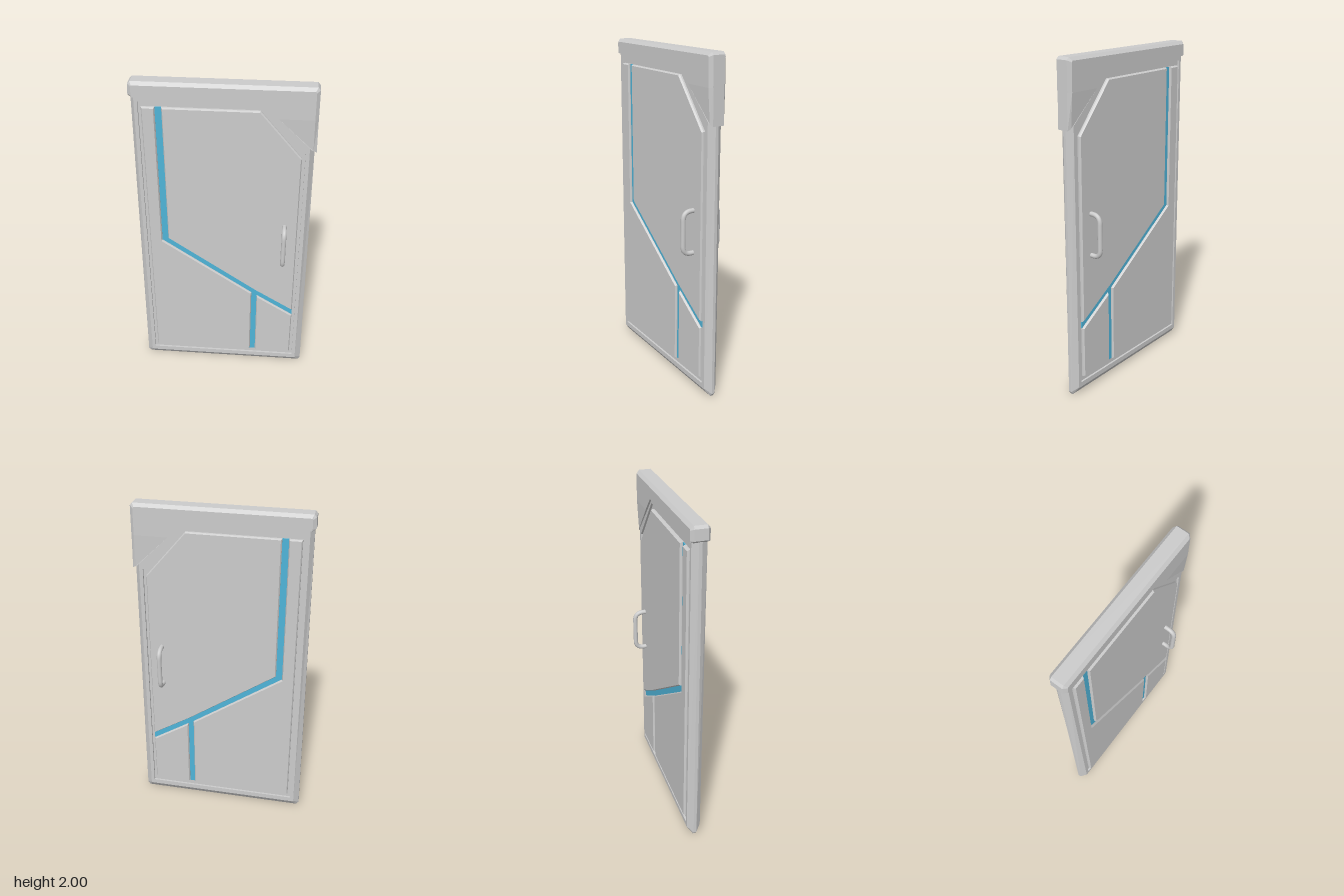
import * as THREE from 'three';

const grey = new THREE.MeshStandardMaterial({ color: 0xcccccc, roughness: 0.7 });
const blue = new THREE.MeshStandardMaterial({ color: 0x4fb4d8, roughness: 0.7 });

// Moves every edge of a counter-clockwise outline inwards by d
function inset(pts, d) {
  const n = pts.length;
  return pts.map((p, i) => {
    const a = pts[(i + n - 1) % n], b = pts[(i + 1) % n];
    const u = new THREE.Vector2(p[0] - a[0], p[1] - a[1]).normalize();
    const v = new THREE.Vector2(b[0] - p[0], b[1] - p[1]).normalize();
    const k = d / (1 + u.dot(v));
    return [p[0] - (u.y + v.y) * k, p[1] + (u.x + v.x) * k];
  });
}

// Slab mirrored about z = 0: bevels run from `outer` at zEdge to `face` at zFace.
// Outlines are counter-clockwise; a face point may carry its own z.
function slab(name, outer, face, zEdge, zFace, hole = [], material = grey) {
  const pos = [];
  const ring = (pts, s, z) => pts.map(p => [p[0], p[1], s * (p[2] ?? z)]);
  const band = (a, b) => a.forEach((p, i) => {
    const j = (i + 1) % a.length;
    pos.push(...p, ...b[i], ...b[j], ...p, ...b[j], ...a[j]);
  });
  const rings = [ring(face, 1, zFace), ring(outer, 1, zEdge), ring(outer, -1, zEdge), ring(face, -1, zFace)];
  for (let i = 0; i < 3; i++) band(rings[i], rings[i + 1]);
  const cut = [...hole].reverse();
  if (cut.length) band(ring(cut, 1, zFace), ring(cut, -1, zFace));
  const flat = pts => pts.map(p => new THREE.Vector2(p[0], p[1]));
  const tris = THREE.ShapeUtils.triangulateShape(flat(face), cut.length ? [flat(cut)] : []);
  const front = [...rings[0], ...ring(cut, 1, zFace)];
  const back = [...rings[3], ...ring(cut, -1, zFace)];
  for (const [a, b, c] of tris) pos.push(...front[a], ...front[b], ...front[c], ...back[a], ...back[c], ...back[b]);
  const geo = new THREE.BufferGeometry();
  geo.setAttribute('position', new THREE.Float32BufferAttribute(pos, 3));
  geo.computeVertexNormals();
  const mesh = new THREE.Mesh(geo, material);
  mesh.name = name;
  return mesh;
}

export function createModel() {
  const door = new THREE.Group();
  door.name = 'door';

  // Frame with wedge-shaped outer edges
  const opening = [[-0.465, 0.075], [0.46, 0.075], [0.452, 1.615], [0.21, 1.887], [-0.463, 1.887]];
  door.add(slab('frame',
    [[-0.52, 0.02], [-0.505, 0], [0.505, 0], [0.518, 0.02], [0.5, 1.64], [0.496, 1.95], [-0.503, 1.95]],
    [[-0.487, 0.05], [-0.482, 0.045], [0.477, 0.045], [0.482, 0.05], [0.473, 1.64], [0.47, 1.93], [-0.482, 1.93]],
    0.009, 0.042, opening));

  // Stepped seat around the leaf
  const seat = inset(opening, -0.003);
  door.add(slab('doorCore', seat, seat, 0.03, 0.03));

  // Raised leaf panels, separated by channels
  const panels = {
    upperPanel: [[-0.335, 1.857], [-0.335, 0.995], [0.2, 0.622], [0.44, 0.472], [0.434, 1.58], [0.198, 1.857]],
    lowerPanel: [[-0.446, 1.857], [-0.446, 0.107], [0.177, 0.107], [0.177, 0.597], [-0.372, 0.978], [-0.372, 1.857]],
    cornerPanel: [[0.21, 0.107], [0.441, 0.107], [0.44, 0.43], [0.21, 0.577]],
  };
  for (const [name, pts] of Object.entries(panels)) door.add(slab(name, pts, inset(pts, 0.006), 0.04, 0.05));

  // Blue strips lying in the channels
  const strips = {
    mainStrip: [[-0.372, 1.857], [-0.372, 0.978], [0.177, 0.597], [0.21, 0.577], [0.44, 0.43],
      [0.44, 0.472], [0.2, 0.622], [-0.335, 0.995], [-0.335, 1.857]],
    lowerStrip: [[0.177, 0.107], [0.21, 0.107], [0.21, 0.577], [0.177, 0.597]],
  };
  for (const [name, pts] of Object.entries(strips)) door.add(slab(name, pts, pts, 0.036, 0.036, [], blue));

  // Header beam and the tapering tail over the cut corner
  door.add(slab('header',
    [[-0.513, 1.925], [-0.5, 1.913], [0.203, 1.913], [0.297, 1.82], [0.507, 1.82], [0.505, 1.985], [0.492, 2], [-0.497, 2], [-0.51, 1.985]],
    [[-0.493, 1.925], [-0.49, 1.913], [0.203, 1.913], [0.297, 1.82], [0.488, 1.82], [0.486, 1.975], [0.48, 1.982], [-0.488, 1.982], [-0.491, 1.975]],
    0.036, 0.053));
  door.add(slab('headerTail',
    [[0.297, 1.82], [0.488, 1.632], [0.511, 1.62], [0.507, 1.82]],
    [[0.297, 1.82], [0.482, 1.638, 0.045], [0.492, 1.632, 0.043], [0.488, 1.82]],
    0.034, 0.053));

  // Pull handles on both sides
  const v = (y, z) => new THREE.Vector3(0.36, y, z);
  const path = new THREE.CurvePath();
  const [lo, hi, out, r] = [0.874, 1.126, 0.117, 0.05];
  path.add(new THREE.LineCurve3(v(lo, 0.035), v(lo, out - r)));
  path.add(new THREE.QuadraticBezierCurve3(v(lo, out - r), v(lo, out), v(lo + r, out)));
  path.add(new THREE.LineCurve3(v(lo + r, out), v(hi - r, out)));
  path.add(new THREE.QuadraticBezierCurve3(v(hi - r, out), v(hi, out), v(hi, out - r)));
  path.add(new THREE.LineCurve3(v(hi, out - r), v(hi, 0.035)));
  const handleGeo = new THREE.TubeGeometry(path, 48, 0.014, 12);
  for (const [name, turn] of [['frontHandle', 0], ['backHandle', Math.PI]]) {
    const handle = new THREE.Mesh(handleGeo, grey);
    handle.name = name;
    handle.rotation.y = turn;
    handle.position.x = turn ? 0.72 : 0;
    door.add(handle);
  }
  return door;
}
